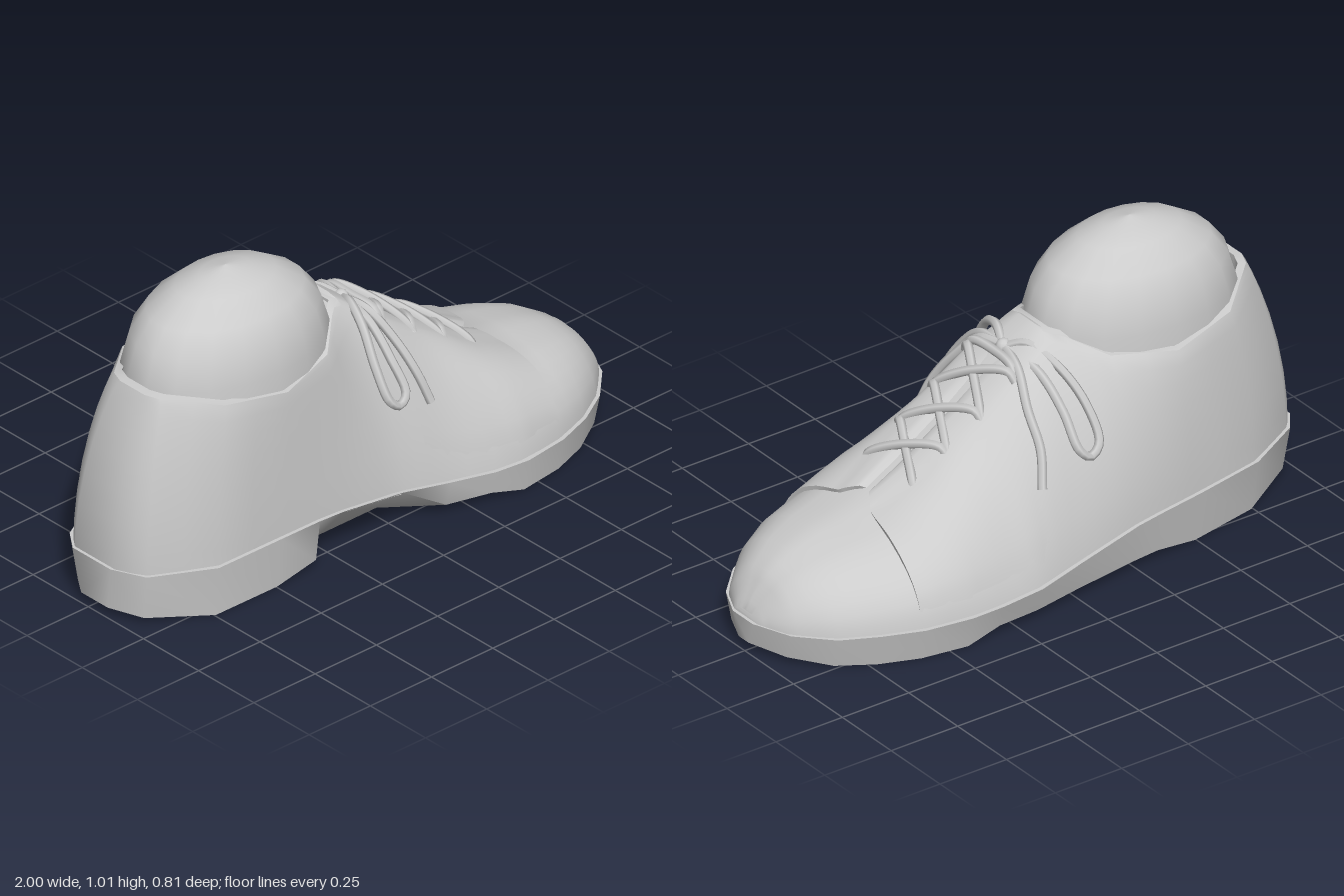
import * as THREE from 'three';
import { toCreasedNormals } from 'three/addons/utils/BufferGeometryUtils.js';

const material = new THREE.MeshStandardMaterial({ color: 0xcccccc, side: THREE.DoubleSide });
const V = (x, y, z) => new THREE.Vector3(x, y, z);
const { lerp, smoothstep } = THREE.MathUtils;

// Skin rows of points (running heel to toe, each from -z over the top to +z)
function skin(rows, capped, crease) {
  const n = rows[0].length, pos = [], idx = [];
  rows.forEach(r => r.forEach(p => pos.push(p.x, p.y, p.z)));
  for (let i = 0; i < rows.length - 1; i++) {
    for (let j = 0; j < n - 1; j++) {
      const a = i * n + j, b = a + n;
      idx.push(a, a + 1, b + 1, a, b + 1, b);
    }
  }
  // each end is closed by rungs between its two sides
  if (capped) {
    const last = (rows.length - 1) * n;
    for (let j = 0; j < Math.floor(n / 2); j++) {
      const k = n - 1 - j;
      idx.push(j, k, k - 1, j, k - 1, j + 1);
      idx.push(last + j, last + k - 1, last + k, last + j, last + j + 1, last + k - 1);
    }
  }
  const g = new THREE.BufferGeometry();
  g.setAttribute('position', new THREE.Float32BufferAttribute(pos, 3));
  g.setIndex(idx);
  return toCreasedNormals(g, crease);
}

// Sole outline: x, -z edge, +z edge
const SOLE = [
  [-1, -.07, .1], [-.95, -.14, .21], [-.75, -.25, .315], [-.5, -.3, .317], [-.34, -.325, .317],
  [-.24, -.335, .315], [0, -.37, .315], [.17, -.4, .345], [.32, -.408, .385], [.44, -.41, .4],
  [.6, -.385, .38], [.73, -.335, .335], [.85, -.275, .265], [.95, -.17, .165], [1, -.04, .06],
];
const soleTop = x => lerp(.178, .112, smoothstep(x, -.4, .3));
const soleBottom = x => .03 * Math.max(
  smoothstep(x, -.5, -.34) - smoothstep(x, .32, .44), (Math.abs(x) - .8) / .2, 0);
const soleArch = x => .1 * (smoothstep(x, -.34, -.24) - smoothstep(x, 0, .18));
function soleEdges(x) {
  const i = Math.max(1, SOLE.findIndex(s => s[0] >= x));
  const [a, b] = [SOLE[i - 1], SOLE[i]];
  const t = (x - a[0]) / (b[0] - a[0]);
  return [lerp(a[1], b[1], t), lerp(a[2], b[2], t)];
}

// Upper stations: bottom x, top x, top y, top -z edge, top +z edge
const UPPER = [
  [-.99, -.87, .75, .0, .11], [-.94, -.85, .748, -.05, .16], [-.74, -.68, .705, -.2, .265],
  [-.46, -.45, .672, -.25, .295], [-.23, -.24, .695, -.185, .24], [-.07, -.14, .75, -.09, .15],
  [.02, -.085, .77, -.05, .11], [.12, .05, .67, -.08, .15], [.24, .2, .56, -.08, .15],
  [.42, .4, .43, -.08, .15], [.59, .57, .345, -.05, .11], [.73, .73, .315, -.04, .09],
  [.84, .83, .285, -.03, .07], [.93, .91, .24, -.02, .05], [.975, .955, .18, -.01, .03],
  [.99, .985, .13, -.01, .03],
];
const RIM = .3; // |v| where the side wall meets the top

// Point on the upper: u counts stations from the heel, v runs -1 to 1 across
function upperPoint(u, v) {
  const i = Math.min(Math.floor(u), UPPER.length - 2);
  const [xb, xt, yt, nt, pt] = UPPER[i].map((a, k) => lerp(a, UPPER[i + 1][k], u - i));
  if (Math.abs(v) <= RIM) {
    // sunken inside the collar, slightly crowned over the tongue
    const k = v / RIM, crown = lerp(-.05, .05 * (pt - nt), smoothstep(xb, -.2, .02));
    return V(xt, yt + crown * (1 - k ** 4), lerp(nt, pt, (k + 1) / 2));
  }
  // walls are round at the toe and straighter beside the tongue
  const e = 1.3 + .2 * smoothstep(xb, -.4, 0) - .5 * smoothstep(xb, .2, .6);
  const a = (1 - Math.abs(v)) / (1 - RIM) * Math.PI / 2;
  const h = Math.sin(a) ** e, w = Math.max(Math.cos(a), 0) ** e;
  const [n, p] = soleEdges(xb);
  const [b, t] = v < 0 ? [n + .012, nt] : [p - .012, pt];
  return V(lerp(xb, xt, h * h), lerp(soleTop(xb) - .012, yt, h), lerp(t, b, w));
}

function raisedPoint(u, v, d) {
  const p = upperPoint(u, v);
  const du = upperPoint(u + .05, v).sub(upperPoint(u - .05, v));
  const dv = upperPoint(u, v + .02).sub(upperPoint(u, v - .02));
  return p.addScaledVector(dv.cross(du).normalize(), d);
}

export function createModel() {
  const shoe = new THREE.Group();
  shoe.name = 'shoe';
  const add = (name, geometry, parent = shoe) => {
    const m = new THREE.Mesh(geometry, material);
    m.name = name;
    parent.add(m);
    return m;
  };

  // Sole with raised waist and inner arch
  add('sole', skin(SOLE.map(([x, n, p]) => {
    const xb = x * .993, t = soleTop(x), b = soleBottom(x);
    return [V(x, t, n), V(x, t, p), V(xb, b, p - .02 - soleArch(x)), V(xb, b, n + .03), V(x, t, n)];
  }), true, .9));

  // Upper
  const cols = [-.15, 0, .15];
  for (let j = 0; j <= 8; j++) {
    const v = lerp(RIM, 1, j / 8);
    cols.unshift(-v);
    cols.push(v);
  }
  const rows = [];
  for (let u = 0; u <= UPPER.length - 1; u += .5) rows.push(cols.map(v => upperPoint(u, v)));
  add('upper', skin(rows, true, .9));

  // Flat collar lip turning down inside
  const rim = [];
  for (let i = 0; i <= 6; i++) rim.push(upperPoint(i, -RIM));
  for (let i = 6; i >= 0; i--) rim.push(upperPoint(i, RIM));
  rim.push(rim[0]);
  add('collarLip', skin(rim.map(p => {
    const q = V(lerp(p.x, -.467, .07), p.y + .003, lerp(p.z, .028, .09));
    return [V(q.x, q.y - .08, q.z), q, p];
  }), false, .6));

  // Rounded sock filling the collar
  const profile = [[1, .6], [.985, .74], [.9, .84], [.75, .91], [.48, .972], [.24, .997], [0, 1.012]]
    .map(([r, y]) => new THREE.Vector2(r, y));
  const sock = add('sock', new THREE.LatheGeometry(profile, 18));
  sock.scale.set(.37, 1, .255);
  sock.position.set(-.467, 0, .028);

  // Side panels meeting on the centre line, ending in a curved seam behind the toe
  [-1, 1].forEach(side => {
    const N = 14, M = 16, grid = [];
    for (let i = 0; i <= N; i++) {
      const row = [];
      for (let j = 0; j <= M; j++) {
        const v = side * lerp(.025, .88, j / M);
        const end = 9.65 + .45 * Math.sin(Math.min(j / M * 1.4, 1) * Math.PI / 2);
        const s = Math.min(i / (N - 1), 1);
        const edge = i === N || j === 0 || j === M;
        const d = edge ? -.002 : .013 * Math.min(s * 2, 1) * Math.min((M - j) / 6, 1);
        row.push(raisedPoint(lerp(6.9, end, s), v, d));
      }
      grid.push(side < 0 ? row.reverse() : row);
    }
    add(side < 0 ? 'rightPanel' : 'leftPanel', skin(grid, false, .9));
  });

  // Crossed laces
  const laces = new THREE.Group();
  laces.name = 'laces';
  shoe.add(laces);
  const lace = (name, pts) =>
    add(name, new THREE.TubeGeometry(new THREE.CatmullRomCurve3(pts), pts.length * 5, .015, 6), laces);
  const ridge = x => {
    const i = UPPER.findIndex(s => s[1] > x);
    const [a, b] = [UPPER[i - 1], UPPER[i]];
    return lerp(a[2], b[2], (x - a[1]) / (b[1] - a[1]));
  };
  for (let i = 0; i < 3; i++) {
    const a = .05 + i * .127, b = a + .127, m = (a + b) / 2;
    [-1, 1].forEach(s => {
      const z = k => .036 + s * k * .122;
      lace('crossLace', [V(a, ridge(a) - .012, z(-1.05)), V(a + .01, ridge(a) + .016, z(-.85)),
        V(m, ridge(m) + (s > 0 ? .04 : .024), z(0)),
        V(b - .01, ridge(b) + .022, z(.85)), V(b, ridge(b) - .012, z(1.05))]);
    });
  }
  lace('topLace', [V(.045, .655, -.09), V(.04, .695, -.06), V(.035, .705, .04), V(.04, .695, .14), V(.045, .655, .165)]);

  // Bow: knot, two loops, two loose ends
  const knot = add('knot', new THREE.SphereGeometry(.026, 10, 8), laces);
  knot.position.set(0, .708, .035);
  lace('leftLoop', [V(0, .71, .04), V(-.03, .735, .11), V(-.06, .7, .2), V(-.08, .6, .28), V(-.07, .5, .335),
    V(-.035, .475, .34), V(-.005, .5, .335), V(-.01, .6, .27), V(-.01, .69, .17), V(0, .71, .04)]);
  lace('rightLoop', [V(0, .71, .03), V(-.04, .735, -.03), V(-.08, .69, -.13), V(-.11, .6, -.23), V(-.11, .49, -.305),
    V(-.07, .46, -.315), V(-.035, .49, -.305), V(-.03, .59, -.23), V(-.02, .68, -.12), V(0, .71, .03)]);
  lace('leftEnd', [V(0, .71, .04), V(.02, .7, .13), V(.06, .61, .215), V(.09, .51, .28), V(.115, .415, .315)]);
  lace('rightEnd', [V(0, .71, .03), V(.03, .69, -.08), V(.06, .6, -.17), V(.07, .5, -.25), V(.1, .395, -.3)]);

  return shoe;
}
